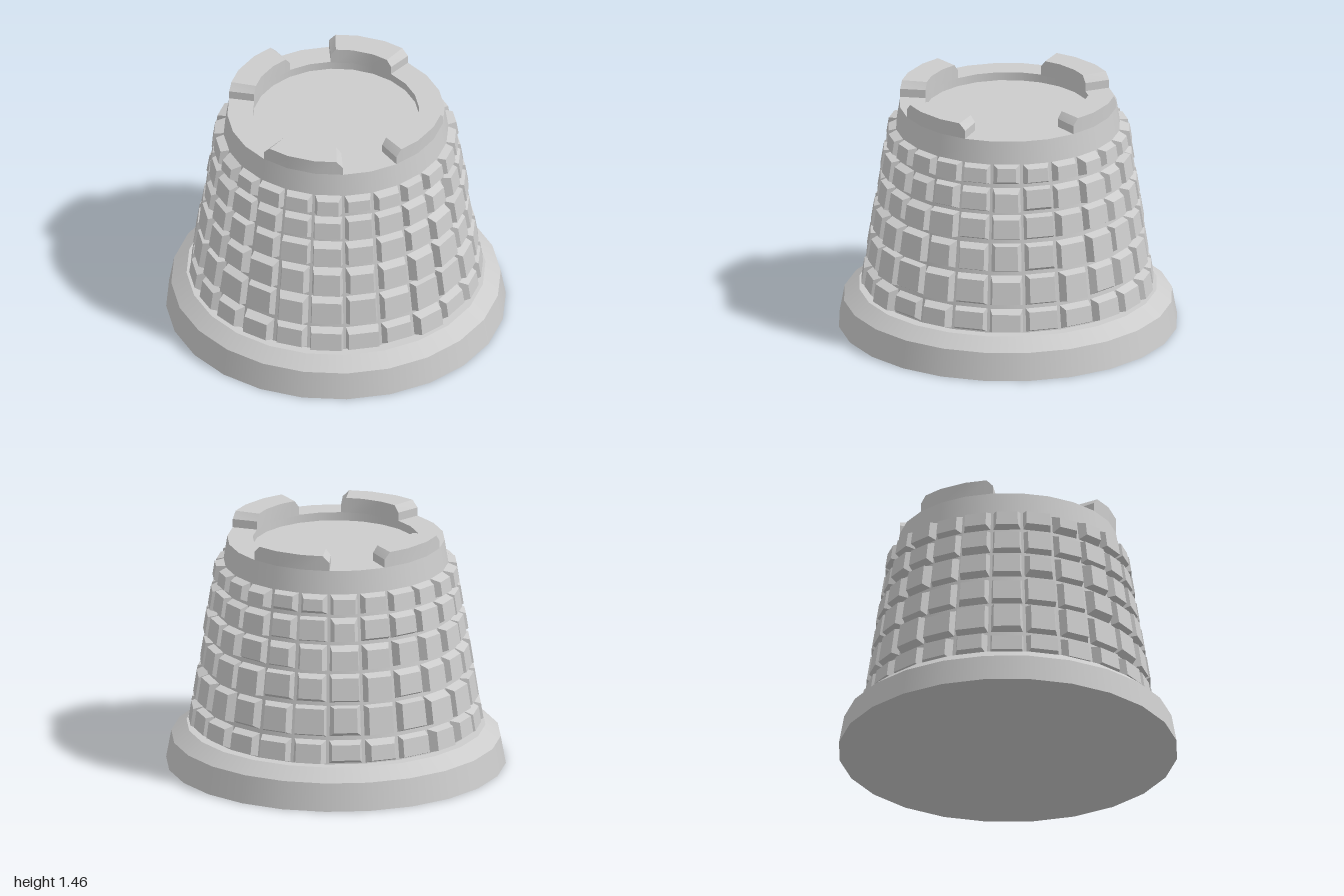
import * as THREE from 'three';
import { mergeGeometries, toCreasedNormals } from 'three/addons/utils/BufferGeometryUtils.js';

const SIDES = 24;
const STEP = (Math.PI * 2) / SIDES;
const RIM_Y = 1.37, RIM_R = 0.64, FLOOR_R = 0.49;
const rad = THREE.MathUtils.degToRad;

// Corner radius of the tapering wall at height y
const wallRadius = (y) => 0.82 - ((0.82 - RIM_R) * (y - 0.235)) / (RIM_Y - 0.235);

// Small seeded random
function makeRandom(seed) {
  let s = seed;
  return (min, max) => {
    s = (s * 16807) % 2147483647;
    return min + (max - min) * (s / 2147483647);
  };
}

// Lathe with a hard edge at every profile corner
function creasedLathe(points) {
  const bands = [];
  for (let i = 0; i < points.length - 1; i++) {
    const pair = [points[i], points[i + 1]].map(([x, y]) => new THREE.Vector2(x, y));
    bands.push(new THREE.LatheGeometry(pair, SIDES));
  }
  return mergeGeometries(bands);
}

// Bevelled stone seated on one wall facet
function stoneGeometry(y0, y1, angle, rand) {
  const geo = new THREE.BoxGeometry(1, 1, 1);
  const pos = geo.attributes.position;
  const depth = rand(0.042, 0.056);
  const side = rand(0.008, 0.028), top = rand(0.006, 0.03), bottom = rand(0.012, 0.035);
  for (let i = 0; i < pos.count; i++) {
    const outer = pos.getZ(i) > 0;
    const edgeY = pos.getY(i) > 0 ? y1 - (outer ? top : 0) : y0 + (outer ? bottom : 0);
    const r = wallRadius(edgeY);
    const half = r * Math.sin(STEP / 2) * 0.94 - (outer ? side : 0);
    pos.setXYZ(i, Math.sign(pos.getX(i)) * half, edgeY,
      r * Math.cos(STEP / 2) + (outer ? depth : -0.01));
  }
  geo.rotateY(angle);
  geo.computeVertexNormals();
  return geo;
}

// Battlement: an arc of the rim swept from cross-sections, with chamfered ends
function battlementGeometry() {
  const sections = [[15, 1.42], [18.5, 1.46], [30, 1.46], [45, 1.46], [56.5, 1.46], [60, 1.42]];
  const loops = sections.map(([deg, topY]) => {
    const a = rad(deg);
    const mid = (Math.floor(deg / 15.001) + 0.5) * STEP;
    const chord = Math.cos(STEP / 2) / Math.cos(a - mid);
    const point = (r, y) => [Math.sin(a) * r * chord, y, Math.cos(a) * r * chord];
    return [point(RIM_R, RIM_Y - 0.005), point(RIM_R, topY),
      point(FLOOR_R, topY), point(FLOOR_R, RIM_Y - 0.005)];
  });
  const out = [];
  const quad = (a, b, c, d) => out.push(...a, ...b, ...c, ...a, ...c, ...d);
  for (let i = 0; i < loops.length - 1; i++) {
    for (let k = 0; k < 4; k++) {
      const n = (k + 1) % 4;
      quad(loops[i][k], loops[i + 1][k], loops[i + 1][n], loops[i][n]);
    }
  }
  const first = loops[0], last = loops[loops.length - 1];
  quad(first[0], first[1], first[2], first[3]);
  quad(last[3], last[2], last[1], last[0]);
  const geo = new THREE.BufferGeometry();
  geo.setAttribute('position', new THREE.Float32BufferAttribute(out, 3));
  geo.computeVertexNormals();
  return toCreasedNormals(geo, rad(25));
}

export function createModel() {
  const group = new THREE.Group();
  const material = new THREE.MeshStandardMaterial({ color: 0xcccccc });
  const add = (name, geometry) => {
    const mesh = new THREE.Mesh(geometry, material);
    mesh.name = name;
    group.add(mesh);
    return mesh;
  };

  // Plinth with sloped shoulder
  add('plinth', creasedLathe([[0, 0], [1, 0], [0.97, 0.165], [0.88, 0.235], [0.8, 0.235]]));

  // Tapering wall, rim and sunken roof floor
  add('towerWall', creasedLathe([[0.82, 0.235], [RIM_R, RIM_Y], [FLOOR_R, RIM_Y],
    [FLOOR_R, 1.32], [0, 1.32]]));

  // Six courses of stones
  const rand = makeRandom(4711);
  const courses = [[0.237, 0.38], [0.395, 0.58], [0.595, 0.767],
    [0.783, 0.938], [0.95, 1.1], [1.113, 1.235]];
  courses.forEach(([y0, y1], row) => {
    const stones = [];
    for (let i = 0; i < SIDES; i++) stones.push(stoneGeometry(y0, y1, (i + 0.5) * STEP, rand));
    add(`stoneCourse${row + 1}`, mergeGeometries(stones));
  });

  // Four battlements, placed symmetrically about both axes
  const battlement = battlementGeometry();
  for (const [i, deg] of [0, 105, 180, 285].entries()) {
    add(`battlement${i + 1}`, battlement).rotation.y = rad(deg);
  }
  return group;
}
